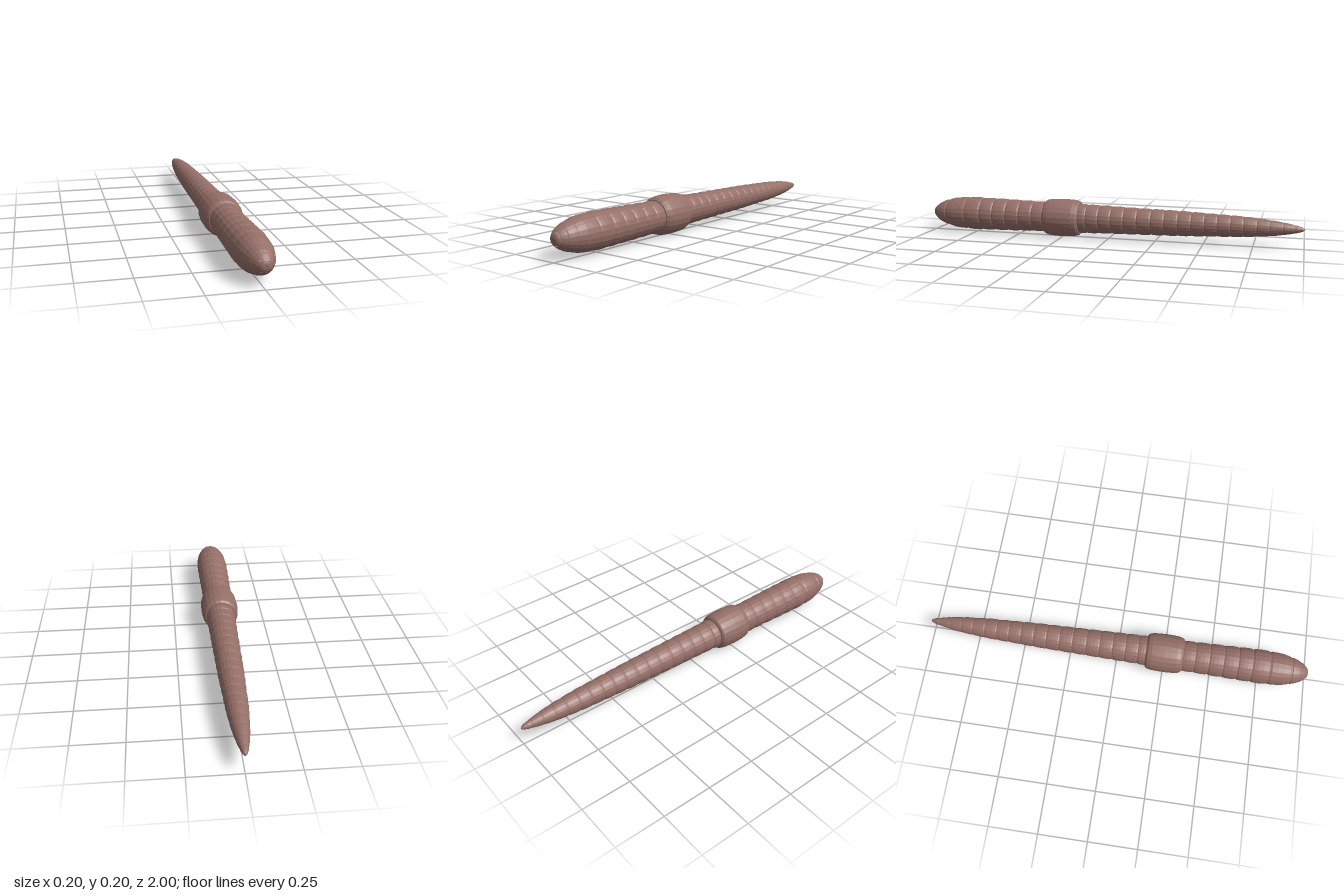
import * as THREE from 'three';

const SIDES = 22;
const AXIS_Y = 0.1;

// Overall body radius along z, as [z, radius]
const OUTLINE = [
  [-1, 0.004], [-0.985, 0.011], [-0.95, 0.021], [-0.9, 0.031], [-0.83, 0.041], [-0.7, 0.052], [-0.4, 0.064],
  [0, 0.073], [0.16, 0.077], [0.4, 0.08], [0.6, 0.085], [0.75, 0.088], [0.8, 0.087],
  [0.87, 0.08], [0.91, 0.071], [0.957, 0.054], [0.985, 0.034], [1, 0.012],
];

// Positions of the grooves between segments
const GROOVES = [
  -0.95, -0.895, -0.83, -0.768, -0.702, -0.638, -0.572, -0.508, -0.44, -0.372, -0.302, -0.233,
  -0.16, -0.09, -0.022, 0.045, 0.112, 0.16, 0.345, 0.41, 0.483, 0.557, 0.632, 0.705, 0.793,
  0.91, 0.957, 0.985,
];

function radiusAt(z) {
  for (let i = 1; i < OUTLINE.length; i++) {
    const [z0, r0] = OUTLINE[i - 1];
    const [z1, r1] = OUTLINE[i];
    if (z <= z1) return r0 + (r1 - r0) * (z - z0) / (z1 - z0);
  }
  return OUTLINE[OUTLINE.length - 1][1];
}

// Surface of revolution lying along the z axis
function lathe(name, profile, material) {
  const points = profile.map(([z, r]) => new THREE.Vector2(r, z));
  const geometry = new THREE.LatheGeometry(points, SIDES).rotateX(Math.PI / 2);
  const mesh = new THREE.Mesh(geometry, material);
  mesh.name = name;
  mesh.position.y = AXIS_Y;
  return mesh;
}

// One ring of the body, pinched at both ends
function segmentProfile(a, b) {
  const length = b - a;
  return [[0, 0.95], [0.1, 0.99], [0.35, 1.01], [0.65, 1.01], [0.9, 0.99], [1, 0.95]]
    .map(([t, k]) => [a + t * length, radiusAt(a + t * length) * k]);
}

export function createModel() {
  const model = new THREE.Group();
  model.name = 'worm';

  const skin = new THREE.MeshStandardMaterial({ color: 0x956f67 });
  skin.name = 'skin brown';
  skin.flatShading = true;
  const dark = new THREE.MeshStandardMaterial({ color: 0x3a2523 });
  dark.name = 'mouth dark brown';

  // Ringed body
  const body = new THREE.Group();
  body.name = 'body';
  for (let i = 1; i < GROOVES.length; i++) {
    body.add(lathe('bodySegment', segmentProfile(GROOVES[i - 1], GROOVES[i]), skin));
  }
  model.add(body);

  // Pointed tail tip
  model.add(lathe('tailTip', [
    [-1, 0], [-0.997, 0.006], [-0.985, 0.012], [-0.965, 0.018], [-0.95, 0.02],
  ], skin));

  // Rounded snout
  model.add(lathe('snout', [
    [0.985, 0.032], [0.988, 0.03], [0.994, 0.024], [0.998, 0.014], [0.9995, 0],
  ], skin));

  // Thick smooth saddle band
  model.add(lathe('saddle', [
    [0.153, 0.074], [0.155, 0.083], [0.164, 0.092], [0.185, 0.097], [0.215, 0.099], [0.25, 0.1],
    [0.285, 0.099], [0.315, 0.097], [0.336, 0.092], [0.347, 0.083], [0.349, 0.075],
  ], skin));

  // Thin mouth slit
  const mouth = new THREE.Mesh(new THREE.SphereGeometry(1, 12, 8), dark);
  mouth.name = 'mouth';
  mouth.scale.set(0.012, 0.002, 0.004);
  mouth.position.set(0, AXIS_Y, 0.996);
  model.add(mouth);

  return model;
}
